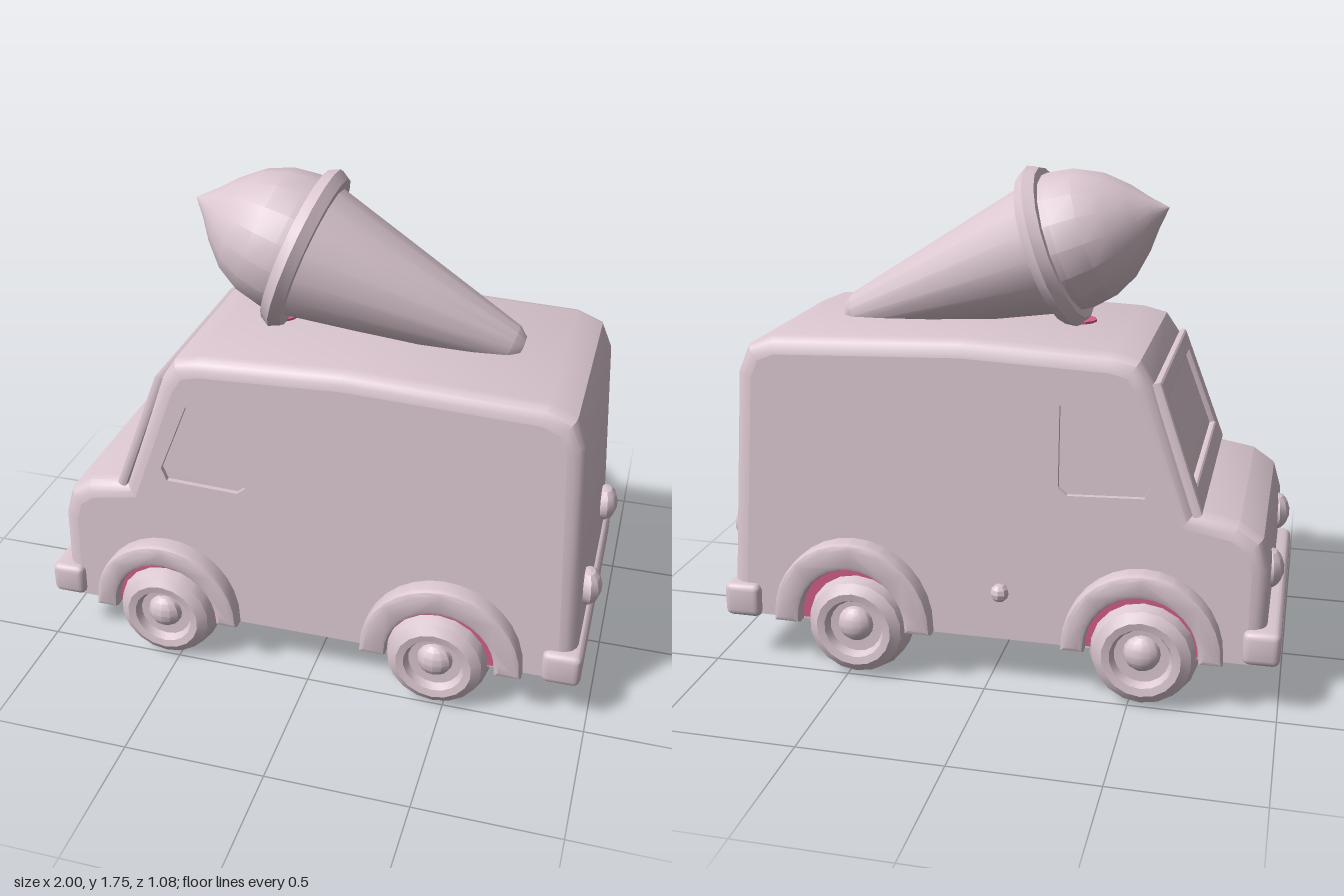
import * as THREE from 'three';
import { toCreasedNormals } from 'three/addons/utils/BufferGeometryUtils.js';
import { RoundedBoxGeometry } from 'three/addons/geometries/RoundedBoxGeometry.js';

const shapeOf = (pts) => new THREE.Shape(pts.map(([x, y]) => new THREE.Vector2(x, y)));
const grow = (pts, cx, cy, k) => pts.map(([x, y]) => [cx + (x - cx) * k, cy + (y - cy) * k]);

// Half width of the van narrows evenly towards the roof
const taper = (y) => 1 - 0.12 * (y - 0.2);

function moveVertices(geo, rule) {
  const p = geo.attributes.position;
  for (let i = 0; i < p.count; i++) p.setXYZ(i, ...rule(p.getX(i), p.getY(i), p.getZ(i)));
  return geo;
}

// Mirror a geometry to the other side and keep its faces pointing outwards
function mirrorZ(geo) {
  const g = geo.index ? geo.toNonIndexed() : geo.clone();
  const p = g.attributes.position;
  const a = new THREE.Vector3(), b = new THREE.Vector3();
  for (let i = 0; i < p.count; i += 3) {
    a.fromBufferAttribute(p, i + 1);
    b.fromBufferAttribute(p, i + 2);
    p.setXYZ(i + 1, b.x, b.y, b.z);
    p.setXYZ(i + 2, a.x, a.y, a.z);
  }
  return g.scale(1, 1, -1);
}

export function createModel() {
  const van = new THREE.Group();
  van.name = 'iceCreamVan';
  const paint = new THREE.MeshStandardMaterial({ color: 0xdac6cf });
  paint.name = 'palePink';
  const pink = new THREE.MeshStandardMaterial({ color: 0xd4608c });
  pink.name = 'deepPink';

  function add(name, geo, material = paint) {
    const g = geo.index ? geo.toNonIndexed() : geo;
    g.computeVertexNormals();
    const mesh = new THREE.Mesh(toCreasedNormals(g, 0.45), material);
    mesh.name = name;
    van.add(mesh);
  }
  function addPair(name, geo, material) {
    add(name + 'Left', geo, material);
    add(name + 'Right', mirrorZ(geo), material);
  }

  // Body shell: side profile with rounded edges, its flat sides added apart
  const profile = [
    [-0.89, 0.18], [-0.89, 0.5], [-0.87, 0.57], [-0.82, 0.605], [-0.654, 0.635],
    [-0.495, 1.073], [-0.46, 1.125], [-0.4, 1.14], [0.1, 1.16], [0.76, 1.135],
    [0.82, 1.11], [0.845, 1.05], [0.875, 0.5], [0.89, 0.18],
  ];
  const full = new THREE.ExtrudeGeometry(shapeOf(profile), {
    depth: 0.8, bevelSize: 0.06, bevelThickness: 0.06, bevelSegments: 4,
  });
  const { start, count } = full.groups[1];
  const shell = new THREE.BufferGeometry();
  shell.setAttribute('position', new THREE.BufferAttribute(
    full.attributes.position.array.slice(start * 3, (start + count) * 3), 3));
  moveVertices(shell, (x, y, z) => [x, Math.max(y, 0.18), (z - 0.4) * taper(y)]);
  add('bodyShell', shell);

  // Sides with a recessed cab window
  const onSide = (geo) => moveVertices(geo, (x, y, z) => [x, y, (0.46 + z) * taper(y)]);
  const windowPts = [
    [-0.55, 0.77], [-0.53, 0.725], [-0.27, 0.715], [-0.24, 0.74],
    [-0.24, 1.02], [-0.28, 1.06], [-0.4, 1.06], [-0.45, 1.02],
  ];
  const side = shapeOf(profile);
  side.holes.push(shapeOf(windowPts));
  addPair('bodySide', onSide(new THREE.ShapeGeometry(side)));
  const rim = shapeOf(grow(windowPts, -0.39, 0.89, 1.08));
  rim.holes.push(shapeOf(windowPts));
  addPair('windowRim', onSide(
    new THREE.ExtrudeGeometry(rim, { depth: 0.025, bevelEnabled: false }).translate(0, 0, -0.026)));
  addPair('windowPane', onSide(
    new THREE.ShapeGeometry(shapeOf(grow(windowPts, -0.39, 0.89, 1.05))).translate(0, 0, -0.02)));

  // Windscreen frame, standing proud of the sloping front
  const frame = shapeOf([[-0.42, 0], [0.42, 0], [0.375, 0.44], [-0.375, 0.44]]);
  frame.holes.push(shapeOf([[-0.365, 0.07], [0.365, 0.07], [0.335, 0.39], [-0.335, 0.39]]));
  const frameGeo = new THREE.ExtrudeGeometry(frame, {
    depth: 0.012, bevelSize: 0.01, bevelThickness: 0.012, bevelSegments: 2,
  });
  frameGeo.applyMatrix4(new THREE.Matrix4().makeBasis(
    new THREE.Vector3(0, 0, 1), new THREE.Vector3(0.342, 0.94, 0), new THREE.Vector3(-0.94, 0.342, 0),
  ).setPosition(-0.698, 0.683, 0));
  add('windscreenFrame', frameGeo);

  // Bumpers and round lamps at both ends
  add('frontBumper', new RoundedBoxGeometry(0.125, 0.12, 0.97, 2, 0.025).translate(-0.937, 0.245, 0));
  add('rearBumper', new RoundedBoxGeometry(0.135, 0.125, 0.97, 2, 0.025).translate(0.9, 0.232, 0));
  for (const [name, x] of [['headlamp', -0.945], ['tailLamp', 0.95]]) {
    addPair(name, new THREE.SphereGeometry(1, 10, 7).scale(0.047, 0.068, 0.068).translate(x, 0.455, 0.27));
  }

  // Fuel cap on the right side
  add('fuelCap', new THREE.SphereGeometry(0.032, 8, 6).translate(-0.05, 0.36, -0.475));

  // Wheels, arches and wheel wells
  const tyre = [
    [0, 0.31], [0.12, 0.31], [0.165, 0.335], [0.187, 0.39], [0.187, 0.45], [0.168, 0.505],
    [0.135, 0.527], [0.108, 0.522], [0.095, 0.495], [0, 0.49],
  ].map(([r, h]) => new THREE.Vector2(r, h));
  for (const [name, x, archX, archR] of [['front', -0.545, -0.54, 0.255], ['rear', 0.465, 0.48, 0.27]]) {
    addPair(name + 'Wheel', new THREE.LatheGeometry(tyre, 18).rotateX(Math.PI / 2).translate(x, 0.188, 0));
    addPair(name + 'Hubcap', new THREE.SphereGeometry(1, 12, 8).scale(0.065, 0.065, 0.05).translate(x, 0.2, 0.49));

    const arch = new THREE.Shape();
    arch.absarc(0, 0, archR, 0, Math.PI, false);
    arch.absarc(0, 0, 0.21, Math.PI, 0, true);
    addPair(name + 'Arch', new THREE.ExtrudeGeometry(arch, {
      depth: 0.09, bevelSize: 0.018, bevelThickness: 0.018, bevelSegments: 2, curveSegments: 8,
    }).scale(1, 1.04, 1).translate(archX, 0.2, 0.405));

    const well = new THREE.Shape();
    well.absarc(0, 0, 0.21, 0, Math.PI, false);
    addPair(name + 'Well', new THREE.ExtrudeGeometry(well, { depth: 0.006, bevelEnabled: false })
      .translate(archX, 0.19, 0.461), pink);
    addPair(name + 'WellFloor', new THREE.BoxGeometry(0.36, 0.006, 0.17).translate(x, 0.178, 0.375), pink);
  }

  // Giant ice cream cone lying on the roof
  const lathe = (pts, n) => new THREE.LatheGeometry(pts.map(([r, h]) => new THREE.Vector2(r, h)), n);
  const place = (geo) => geo.scale(0.93, 1, 1).rotateZ(1.214).translate(-0.14, 1.475, 0);
  add('cone', place(lathe([[0, -0.82], [0.05, -0.815], [0.078, -0.78], [0.262, 0], [0, 0.01]], 16)));
  add('coneRing', place(new THREE.TorusGeometry(0.272, 0.042, 6, 20).rotateX(Math.PI / 2)));
  add('softScoop', place(lathe([
    [0.262, 0], [0.265, 0.06], [0.248, 0.15], [0.203, 0.235], [0.13, 0.31], [0.06, 0.365], [0, 0.42],
  ], 16)));
  add('coneMount', new THREE.CylinderGeometry(0.06, 0.06, 0.008, 12).translate(-0.23, 1.216, 0), pink);

  return van;
}
